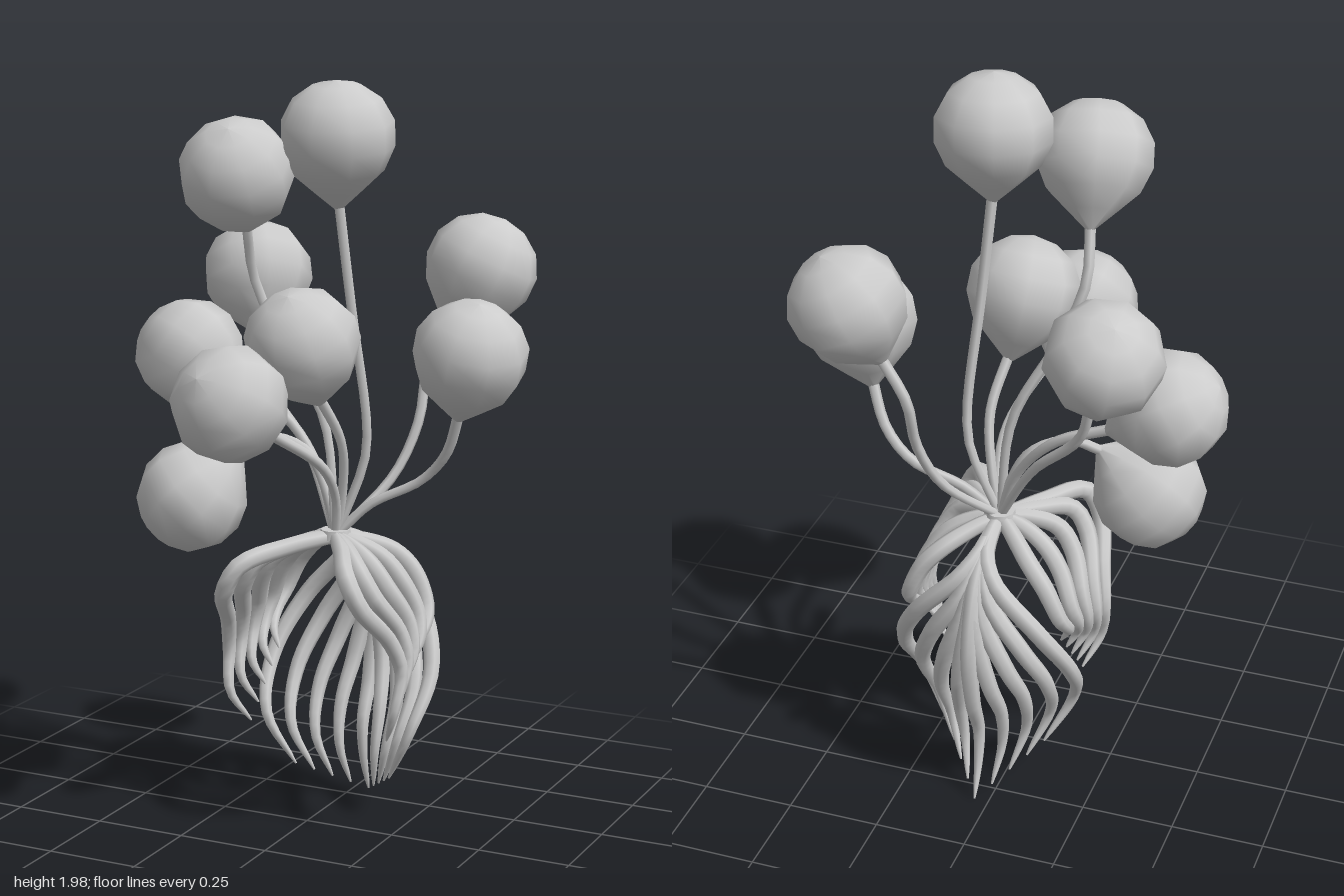
import * as THREE from 'three';

const V = (a) => new THREE.Vector3(...a);
const ROOT = [0.04, 0.79, -0.09];

// Tube along points whose radius follows radiusAt(t)
function taperedTube(points, segments, sides, radiusAt) {
  const curve = new THREE.CatmullRomCurve3(points.map(V), false, 'centripetal');
  const geo = new THREE.TubeGeometry(curve, segments, 1, sides, false);
  const pos = geo.attributes.position;
  const p = new THREE.Vector3();
  for (let i = 0; i <= segments; i++) {
    const c = curve.getPointAt(i / segments);
    for (let j = 0; j <= sides; j++) {
      const k = i * (sides + 1) + j;
      p.fromBufferAttribute(pos, k).sub(c).multiplyScalar(radiusAt(i / segments)).add(c);
      pos.setXYZ(k, p.x, p.y, p.z);
    }
  }
  return geo;
}

export function createModel() {
  const model = new THREE.Group();
  const mat = new THREE.MeshStandardMaterial({ color: 0xcccccc, side: THREE.DoubleSide });
  const add = (geo, name, parent) => {
    const mesh = new THREE.Mesh(geo, mat);
    mesh.name = name;
    parent.add(mesh);
    return mesh;
  };
  const group = (name) => {
    const g = new THREE.Group();
    g.name = name;
    model.add(g);
    return g;
  };

  // Round bulbs with a short neck: centre, neck tip, then the stem's points down to the root
  const bulbs = [
    { c: [0.08, 1.852, -0.01], tip: [0.075, 1.67, -0.03], stem: [[0.1, 1.4, -0.06], [0.125, 1.1, -0.1], [0.115, 1.0, -0.11]] },
    { c: [-0.142, 1.76, 0.115], tip: [-0.165, 1.6, 0.01], stem: [[-0.17, 1.48, -0.03], [-0.11, 1.32, -0.06], [0, 1.1, -0.1]] },
    { c: [-0.31, 1.44, -0.325], tip: [-0.25, 1.28, -0.24], stem: [[-0.22, 1.15, -0.22], [-0.08, 1.0, -0.17]] },
    { c: [-0.428, 1.238, -0.15], tip: [-0.265, 1.14, -0.16], stem: [[-0.13, 1.08, -0.15], [-0.02, 0.95, -0.12]] },
    { c: [0.34, 1.49, -0.345], tip: [0.265, 1.32, -0.31], stem: [[0.205, 1.23, -0.32], [0.195, 1.08, -0.28], [0.15, 0.94, -0.22]] },
    { c: [0.425, 1.305, -0.075], tip: [0.38, 1.13, -0.11], stem: [[0.335, 1.03, -0.14], [0.26, 0.95, -0.15], [0.13, 0.88, -0.12]] },
    { c: [-0.335, 0.882, 0.015], tip: [-0.2, 1.02, -0.03], stem: [[-0.14, 1.045, -0.07], [-0.05, 1.01, -0.1], [0.01, 0.9, -0.1]] },
    { c: [0.055, 1.34, 0.14], tip: [0.065, 1.18, 0.06], stem: [[0.09, 1.06, -0.02], [0.07, 0.92, -0.07]] },
    { c: [-0.04, 1.215, 0.352], tip: [0, 1.11, 0.2], stem: [[0.06, 1.0, 0.03], [0.06, 0.9, -0.05]] },
  ];
  const profile = [[0.01, -0.185], [0.064, -0.138], [0.12, -0.088], [0.149, -0.025], [0.148, 0.04], [0.116, 0.098], [0.062, 0.135], [0, 0.147]]
    .map(([r, y]) => new THREE.Vector2(r, y));
  const bulbGeo = new THREE.LatheGeometry(profile, 9);
  const bulbGroup = group('bulbs');
  const stemGroup = group('stems');
  for (const { c, tip, stem } of bulbs) {
    const bulb = add(bulbGeo, 'bulb', bulbGroup);
    bulb.position.set(...c);
    const axis = V(c).sub(V(tip)).normalize();
    bulb.quaternion.setFromUnitVectors(new THREE.Vector3(0, 1, 0), axis);
    const inside = V(tip).addScaledVector(axis, 0.03).toArray();
    add(taperedTube([inside, ...stem, ROOT], 16, 6, (t) => 0.0145 - 0.002 * t), 'stem', stemGroup);
  }

  // Collar where stems and tendrils meet
  const collar = add(new THREE.CylinderGeometry(0.04, 0.044, 0.024, 10), 'collar', model);
  collar.position.set(0.04, 0.797, -0.09);

  // Tendrils: blend between a first and last path, mirrored about x = 0.04
  const tendrils = group('tendrils');
  const thick = (t) => 0.003 + 0.022 * Math.pow(Math.sin(Math.PI * Math.min(1, 0.2 + 0.8 * t)), 0.7);
  const addRow = (name, first, last, count) => {
    for (let i = 0; i < count; i++) {
      const f = i / (count - 1);
      const path = first.map((a, k) => a.map((v, n) => v + (last[k][n] - v) * f));
      const sides = path.every((p) => p[0] === 0) ? [1] : [1, -1];
      for (const s of sides) {
        const pts = [ROOT, ...path.map(([x, y, z]) => [0.04 + s * x, y, z])];
        add(taperedTube(pts, 28, 7, thick), name, tendrils);
      }
    }
  };
  // Long ones follow the back centre line, then branch off one below the other
  addRow('longTendril',
    [[0, 0.765, -0.2], [0, 0.68, -0.29], [0, 0.52, -0.338], [0, 0.34, -0.315], [0, 0.22, -0.27], [0, 0.12, -0.275], [0, 0.015, -0.31]],
    [[0.003, 0.775, -0.17], [0.012, 0.75, -0.23], [0.05, 0.7, -0.275], [0.17, 0.57, -0.275], [0.235, 0.42, -0.2], [0.215, 0.27, -0.105], [0.14, 0.12, -0.135]], 5);
  // Short ones arch over the sides and wave down to the front
  addRow('shortTendril',
    [[0.05, 0.775, -0.14], [0.12, 0.735, -0.205], [0.17, 0.68, -0.225], [0.21, 0.59, -0.22], [0.22, 0.54, -0.18], [0.205, 0.495, -0.13], [0.18, 0.45, -0.115]],
    [[0.08, 0.78, 0.04], [0.155, 0.75, 0.17], [0.195, 0.68, 0.175], [0.235, 0.57, 0.075], [0.252, 0.48, 0.04], [0.24, 0.37, 0.06], [0.2, 0.28, 0.015]], 5);

  return model;
}
